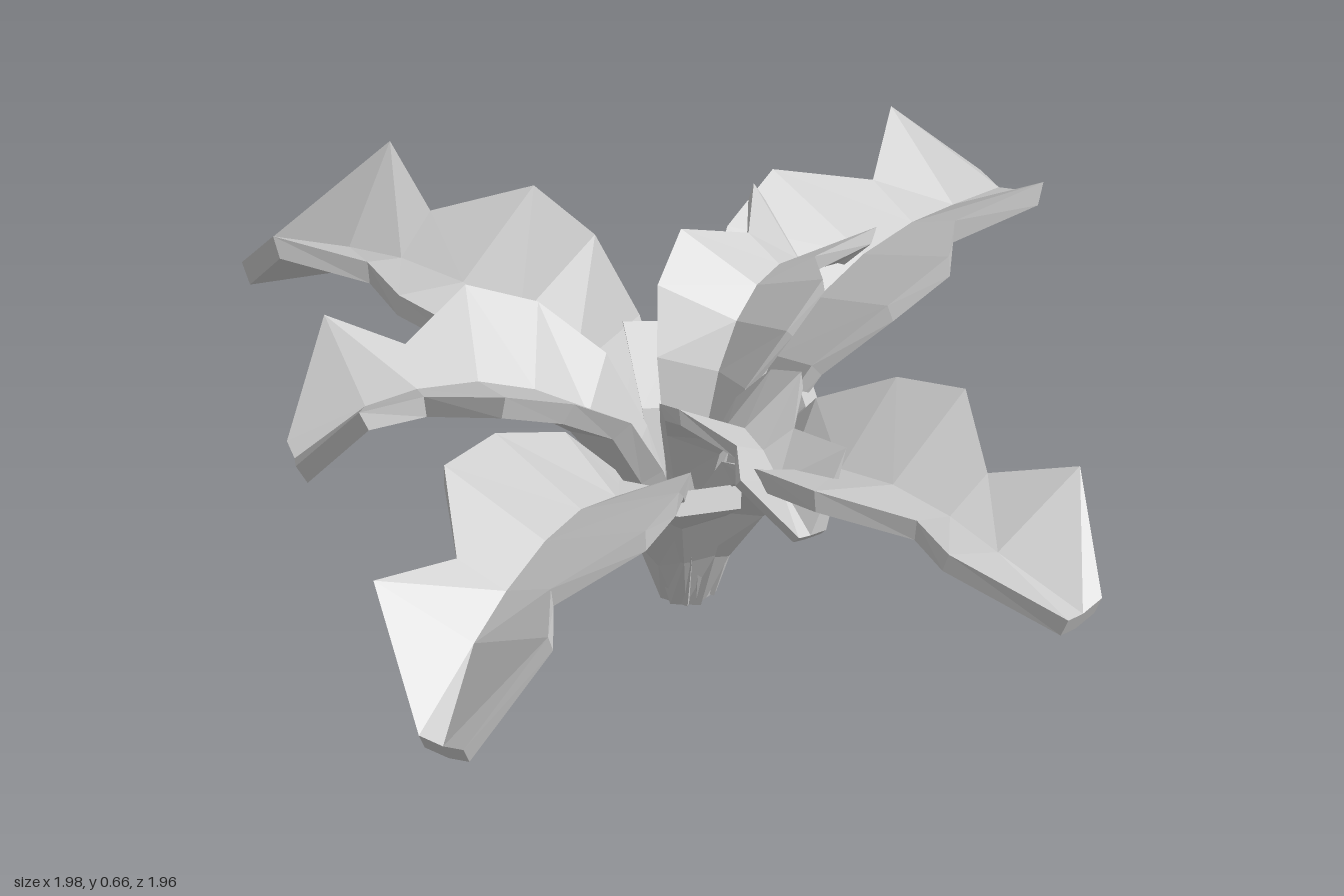
import * as THREE from 'three';

// Leaf stations from stem to tip: distance out, height, half width, rim lift, sideways shift
const FULL = [
  [0.05, 0, 0.03, 0], [0.11, 0.13, 0.06, 0.03], [0.2, 0.27, 0.09, 0.06],
  [0.3, 0.375, 0.14, 0.09], [0.42, 0.435, 0.205, 0.1], [0.545, 0.46, 0.225, 0.105],
  [0.685, 0.455, 0.105, 0.05], [0.8, 0.43, 0.195, 0.13], [0.985, 0.35, 0.05, 0.015, 0.04],
];
// Short undivided leaf that ends in a broad cut edge
const STUB = [
  [0.05, 0, 0.03, 0], [0.1, 0.14, 0.06, 0.02], [0.17, 0.28, 0.085, 0.03], [0.27, 0.39, 0.12, 0.02],
];

// V-shaped, thick, faceted leaf running along +z
function leafGeometry(stations, { len = 1, wide = 1, tall = 1, droop = 0, thick = 0.05 }) {
  const mid = stations.map(([r, y]) => new THREE.Vector2(r * len, y * tall - droop * r * r));
  const rings = stations.map(([, , w, lift, shift = 0], i) => {
    const a = mid[Math.max(i - 1, 0)], b = mid[Math.min(i + 1, mid.length - 1)];
    const t = b.clone().sub(a).normalize();
    const at = (x, h) => [x + shift * wide, mid[i].y + t.x * h, mid[i].x - t.y * h];
    const hw = w * wide, up = lift * Math.sqrt(wide);
    return [at(-hw, up + thick), at(0, thick), at(hw, up + thick), at(hw, up), at(0, 0), at(-hw, up)];
  });
  const pos = [];
  const quad = (a, b, c, d) => pos.push(...a, ...b, ...c, ...a, ...c, ...d);
  for (let s = 0; s < rings.length - 1; s++) {
    const a = rings[s], b = rings[s + 1];
    for (let i = 0; i < 6; i++) {
      const j = (i + 1) % 6;
      pos.push(...a[i], ...b[i], ...a[j], ...a[j], ...b[i], ...b[j]);
    }
  }
  const f = rings[0], e = rings[rings.length - 1];
  quad(f[0], f[1], f[4], f[5]);
  quad(f[1], f[2], f[3], f[4]);
  quad(e[5], e[4], e[1], e[0]);
  quad(e[4], e[3], e[2], e[1]);
  const g = new THREE.BufferGeometry();
  g.setAttribute('position', new THREE.Float32BufferAttribute(pos, 3));
  g.computeVertexNormals();
  return g;
}

export function createModel() {
  const model = new THREE.Group();
  model.name = 'leafyPlant';
  const material = new THREE.MeshStandardMaterial({ color: 0xcccccc, flatShading: true });
  const addLeaf = (name, dx, dz, stations, options) => {
    const leaf = new THREE.Mesh(leafGeometry(stations, options), material);
    leaf.name = name;
    leaf.rotation.y = Math.atan2(dx, dz);
    model.add(leaf);
  };

  // Four long outer leaves
  addLeaf('backLeaf', -0.27, -0.96, FULL, { len: 1.0 });
  addLeaf('leftLeaf', 0.98, -0.2, FULL, { len: 0.99 });
  addLeaf('frontLeaf', 0.18, 0.98, FULL, { len: 0.99 });
  addLeaf('rightLeaf', -0.97, 0.41, FULL, { len: 1.06, droop: 0.08 });

  // Shorter, higher inner leaves
  addLeaf('middleLeaf', -0.7, -0.35, FULL, { len: 0.78, wide: 0.85, tall: 1.1, droop: -0.03 });
  addLeaf('innerLeftLeaf', 0.48, -0.18, FULL, { len: 0.5, wide: 0.72, tall: 1.15, droop: -0.02, thick: 0.035 });
  addLeaf('innerFrontLeaf', -0.09, 0.47, FULL, { len: 0.46, wide: 0.6, tall: 1.1, droop: -0.02, thick: 0.035 });

  // Short leaves filling the gaps around the stem
  addLeaf('shortLeafLeft', 0.22, 0.14, STUB, {});
  addLeaf('shortLeafFront', -0.22, 0.25, STUB, { len: 1.1 });
  addLeaf('shortLeafBack', 0.15, -0.2, STUB, { tall: 1.15 });

  return model;
}
